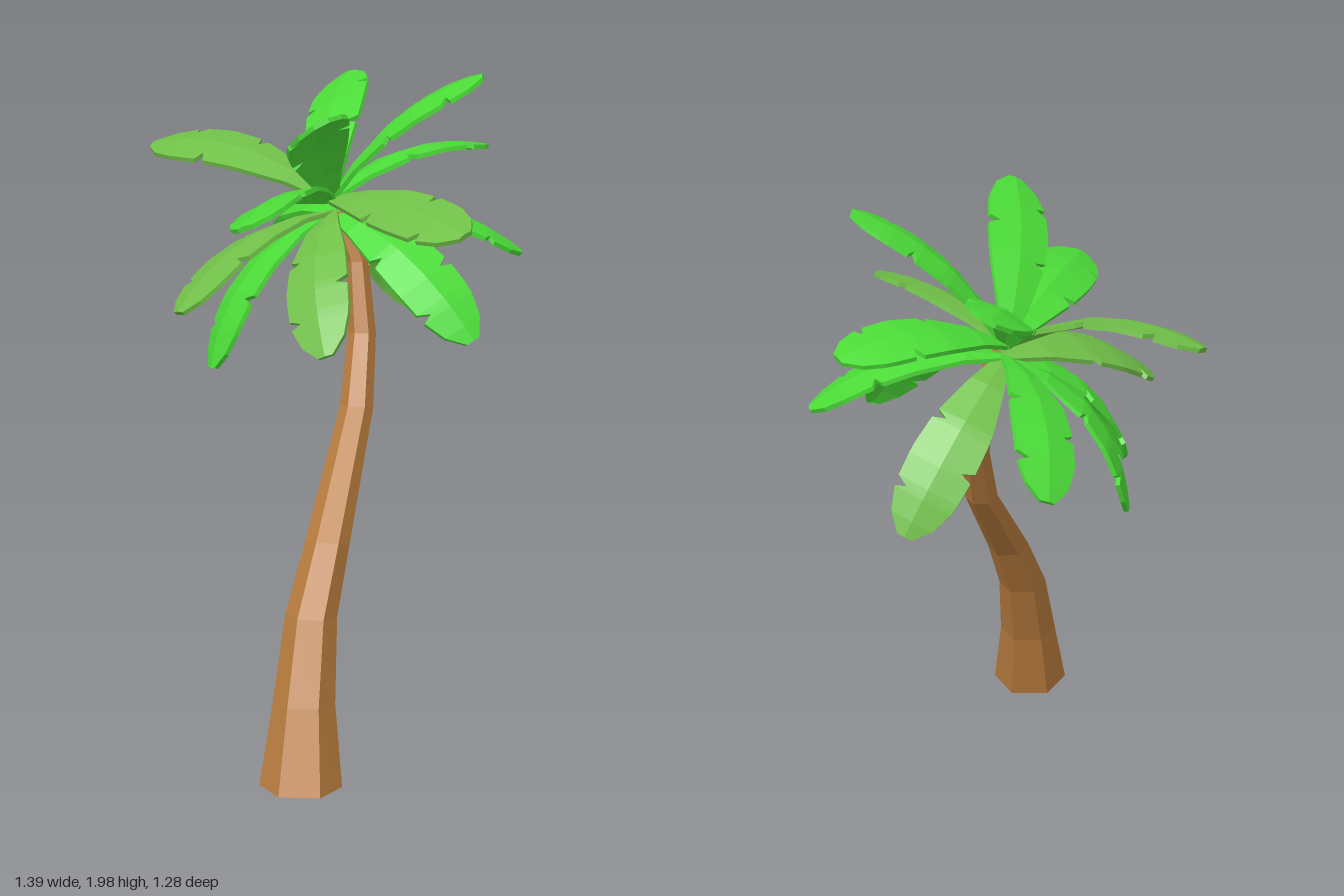
import * as THREE from 'three';

const UP = new THREE.Vector3(0, 1, 0);
const V = (x, y, z) => new THREE.Vector3(x, y, z);

// Closed solid through a list of rings (counter-clockwise seen from the far end)
function loft(rings) {
  const n = rings[0].length, last = (rings.length - 1) * n, index = [];
  for (let i = 0; i < rings.length - 1; i++) {
    for (let j = 0; j < n; j++) {
      const a = i * n + j, b = i * n + (j + 1) % n;
      index.push(a, b, a + n, b, b + n, a + n);
    }
  }
  for (let j = 1; j < n - 1; j++) {
    index.push(0, j + 1, j, last, last + j, last + j + 1);
  }
  const indexed = new THREE.BufferGeometry().setFromPoints(rings.flat());
  indexed.setIndex(index);
  const geometry = indexed.toNonIndexed();
  geometry.computeVertexNormals();
  return geometry;
}

// Leaning six-sided trunk: x, y, z, radius of each ring
const TRUNK = [
  [-0.578, 0.016, 0.472, 0.122], [-0.51, 0.25, 0.425, 0.092], [-0.415, 0.48, 0.37, 0.077],
  [-0.295, 0.67, 0.33, 0.066], [0, 0.99, 0.19, 0.051], [0.1, 1.19, 0.125, 0.043],
  [0.14, 1.4, 0.07, 0.034], [0.125, 1.55, 0.015, 0.028],
];

function trunkGeometry() {
  const centres = TRUNK.map(([x, y, z]) => V(x, y, z));
  return loft(TRUNK.map(([, , , r], i) => {
    const before = centres[Math.max(i - 1, 0)];
    const after = centres[Math.min(i + 1, centres.length - 1)];
    const axis = after.clone().sub(before).normalize().addScaledVector(UP, 1.8).normalize();
    const tilt = new THREE.Quaternion().setFromUnitVectors(UP, axis);
    return Array.from({ length: 6 }, (_, k) => {
      const a = (k * 60 - 51) * Math.PI / 180;
      return V(r * Math.cos(a), 0, -r * Math.sin(a)).applyQuaternion(tilt).add(centres[i]);
    });
  }));
}

// Leaf outline: position along the rib, half width on each side (dips are the splits)
const OUTLINE = [
  [0, 0.018, 0.018], [0.2, 0.055, 0.055], [0.42, 0.09, 0.088], [0.45, 0.092, 0.055],
  [0.47, 0.094, 0.094], [0.62, 0.1, 0.102], [0.65, 0.064, 0.102], [0.67, 0.1, 0.102],
  [0.78, 0.097, 0.099], [0.81, 0.094, 0.062], [0.83, 0.092, 0.095],
  [0.93, 0.068, 0.07], [1, 0.024, 0.024],
];
const DROP = 0.15, THICK = 0.014;
// The whole crown leans to the back and to its right, which rolls the leaves
const CROWN_UP = V(-0.33, 1, -0.33).normalize();

// Arched leaf, folded slightly down on both sides of its rib
function frondGeometry(root, tip, bulge) {
  const chord = tip.clone().sub(root);
  const side = CROWN_UP.clone().cross(chord).normalize();
  const lift = chord.clone().normalize().cross(side).normalize();
  const control = root.clone().lerp(tip, 0.5).addScaledVector(lift, bulge);
  const curve = new THREE.QuadraticBezierCurve3(root, control, tip);
  return loft(OUTLINE.map(([t, left, right]) => {
    const centre = curve.getPoint(t);
    const normal = curve.getTangent(t).cross(side).normalize();
    const at = (s, h) => centre.clone().addScaledVector(side, s)
      .addScaledVector(normal, h - DROP * Math.abs(s));
    return [at(left, -THICK), at(left, 0), at(0, 0), at(-right, 0), at(-right, -THICK), at(0, -THICK)];
  }));
}

// Leaf tips: x, y, z, arch height, 1 for the olive leaves
const FRONDS = [
  // raised leaves
  [0.36, 1.985, 0.37, 0.12, 0], [0.56, 1.87, -0.33, 0.13, 0], [-0.29, 1.94, 0.29, 0.12, 0],
  // level leaves
  [0.69, 1.68, 0.13, 0.13, 0], [-0.02, 1.69, -0.64, 0.16, 1],
  [-0.05, 1.62, 0.635, 0.08, 1], [-0.51, 1.66, 0.2, 0.11, 0],
  // drooping leaves
  [0.46, 1.32, -0.46, 0.17, 0], [0.6, 1.13, -0.03, 0.2, 1], [0.54, 1.41, 0.4, 0.15, 0],
  [0.1, 1.25, 0.56, 0.2, 0], [-0.31, 1.25, 0.33, 0.17, 1], [-0.48, 1.34, -0.1, 0.14, 1],
  [-0.1, 1.06, -0.32, 0.2, 0], [-0.31, 1.12, -0.13, 0.18, 0],
];

export function createModel() {
  const group = new THREE.Group();
  group.name = 'palmTree';
  const material = color => new THREE.MeshStandardMaterial({ color, flatShading: true });
  const bark = material(0xb87c3e);
  const greens = [material(0x4cdc38), material(0x70c048)];

  const trunk = new THREE.Mesh(trunkGeometry(), bark);
  trunk.name = 'trunk';
  group.add(trunk);

  const crown = new THREE.Group();
  crown.name = 'crown';
  FRONDS.forEach(([x, y, z, bulge, olive], i) => {
    const root = V(0.115, y > 1.5 ? 1.59 : 1.55, -0.015);
    const frond = new THREE.Mesh(frondGeometry(root, V(x, y, z), bulge), greens[olive]);
    frond.name = 'frond' + (i + 1);
    crown.add(frond);
  });
  group.add(crown);
  return group;
}
